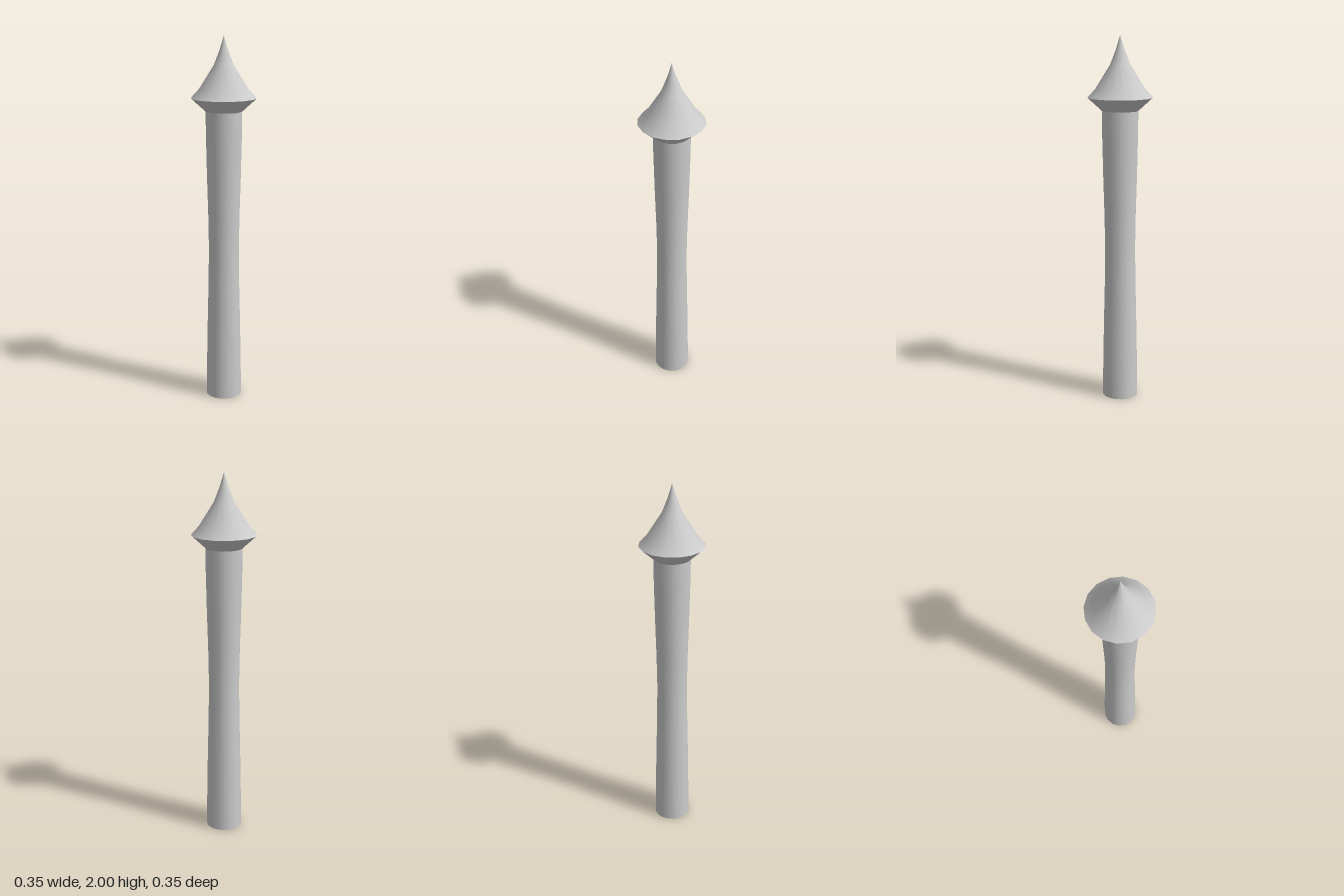
import * as THREE from 'three';

const SIDES = 16;

export function createModel() {
  const group = new THREE.Group();
  const material = new THREE.MeshStandardMaterial({ color: 0xcccccc, side: THREE.DoubleSide });

  // Revolve a [radius, height] profile, listed from bottom to top
  const turn = (name, profile) => {
    const points = profile.map(([r, y]) => new THREE.Vector2(r, y));
    const mesh = new THREE.Mesh(new THREE.LatheGeometry(points, SIDES), material);
    mesh.name = name;
    group.add(mesh);
  };

  // Shaft, gently waisted at mid height
  turn('shaft', [
    [0.098, 0], [0.097, 0.13], [0.092, 0.4], [0.086, 0.64], [0.083, 0.85],
    [0.086, 1.04], [0.092, 1.25], [0.097, 1.48], [0.098, 1.605],
  ]);

  // Flat foot closing the shaft
  turn('foot', [[0, 0], [0.098, 0]]);

  // Flared collar under the point
  turn('collar', [[0.098, 1.605], [0.175, 1.675]]);

  // Concave pointed tip
  turn('spearTip', [[0.175, 1.675], [0.132, 1.722], [0.053, 1.848], [0.023, 1.925], [0, 2]]);

  return group;
}
